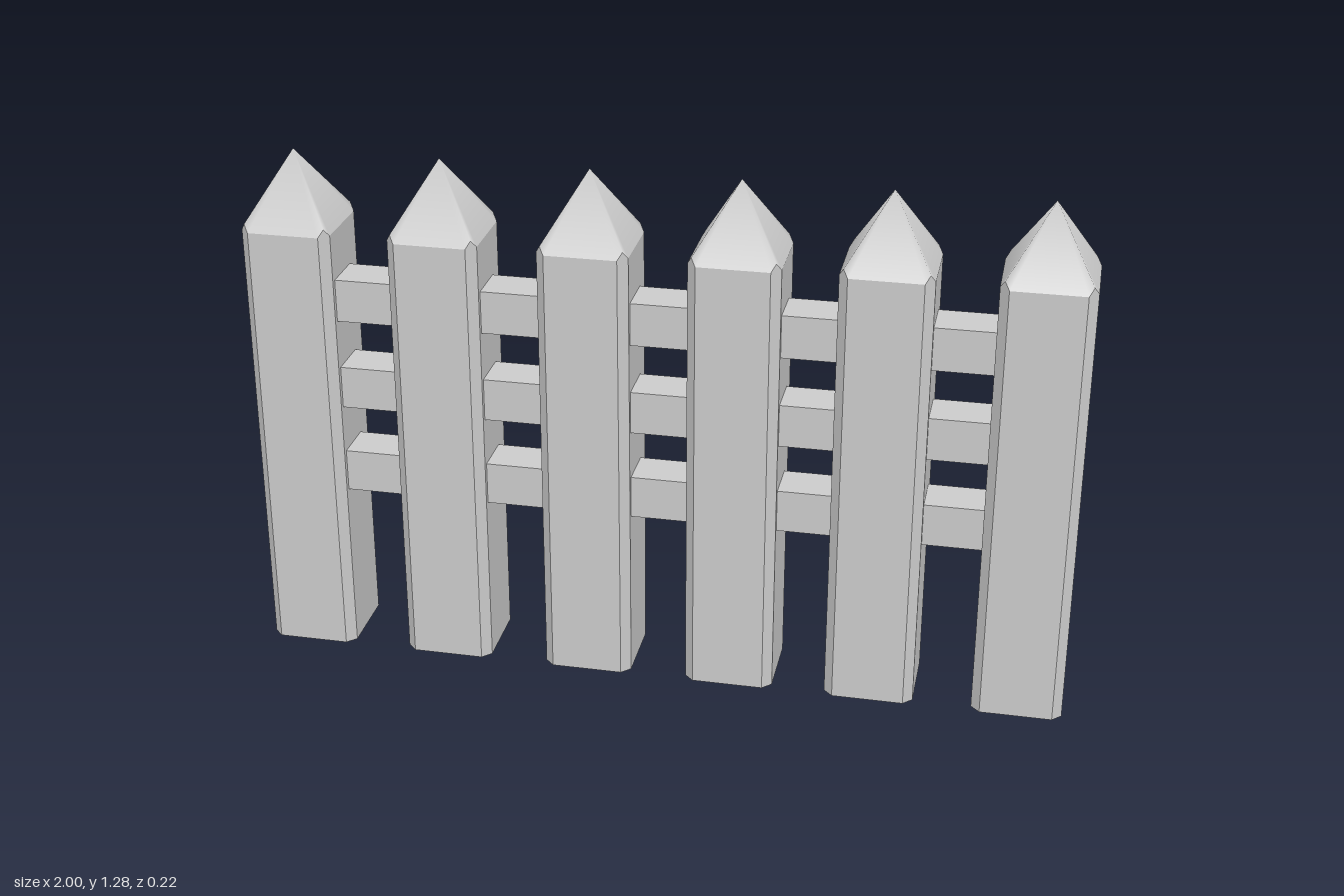
import * as THREE from 'three';

const HALF = 0.109, CHAMFER = 0.022, SHOULDER = 1.1, APEX = 1.28;
const POST_X = [-0.891, -0.533, -0.173, 0.183, 0.531, 0.891];
const RAIL_Y = [0.478, 0.703, 0.93];

// Chamfered square, three points per corner; the middle one carries a roof ridge
function postOutline() {
  const points = [];
  for (let k = 0; k < 4; k++) {
    const corner = [
      [HALF, HALF - CHAMFER],
      [HALF - CHAMFER / 2, HALF - CHAMFER / 2],
      [HALF - CHAMFER, HALF],
    ];
    for (let [x, z] of corner) {
      for (let r = 0; r < k; r++) [x, z] = [-z, x];
      points.push([x, z]);
    }
  }
  return points;
}

// Height of the pyramid roof above a point of the outline
const roofY = ([x, z]) =>
  APEX - (APEX - SHOULDER) * Math.max(Math.abs(x), Math.abs(z)) / HALF;

function makeGeometry(positions, index) {
  const geometry = new THREE.BufferGeometry();
  geometry.setAttribute('position', new THREE.Float32BufferAttribute(positions, 3));
  if (index) geometry.setIndex(index);
  geometry.computeVertexNormals();
  return geometry;
}

// Flat-sided shaft with a closed foot
function shaftGeometry(outline) {
  const positions = [];
  outline.forEach((a, i) => {
    const b = outline[(i + 1) % outline.length];
    const a0 = [a[0], 0, a[1]], a1 = [a[0], roofY(a), a[1]];
    const b0 = [b[0], 0, b[1]], b1 = [b[0], roofY(b), b[1]];
    positions.push(...a0, ...a1, ...b0, ...a1, ...b1, ...b0);
    positions.push(0, 0, 0, ...a0, ...b0);
  });
  return makeGeometry(positions);
}

// Smooth-shaded pointed cap
function capGeometry(outline) {
  const n = outline.length;
  const positions = outline.flatMap((p) => [p[0], roofY(p), p[1]]);
  positions.push(0, APEX, 0);
  const index = outline.flatMap((_, i) => [i, n, (i + 1) % n]);
  return makeGeometry(positions, index);
}

export function createModel() {
  const fence = new THREE.Group();
  fence.name = 'fence';
  const material = new THREE.MeshStandardMaterial({ color: 0xcccccc });
  const add = (parent, name, geometry) => {
    const mesh = new THREE.Mesh(geometry, material);
    mesh.name = name;
    parent.add(mesh);
    return mesh;
  };

  // Pointed posts
  const outline = postOutline();
  const shaft = shaftGeometry(outline);
  const cap = capGeometry(outline);
  POST_X.forEach((x, i) => {
    const post = new THREE.Group();
    post.name = `post${i + 1}`;
    post.position.x = x;
    add(post, 'shaft', shaft);
    add(post, 'pointedCap', cap);
    fence.add(post);
  });

  // Horizontal rails, set slightly towards the front
  const rail = new THREE.BoxGeometry(1.78, 0.106, 0.11);
  RAIL_Y.forEach((y, i) => add(fence, `rail${i + 1}`, rail).position.set(0, y, 0.019));

  return fence;
}
